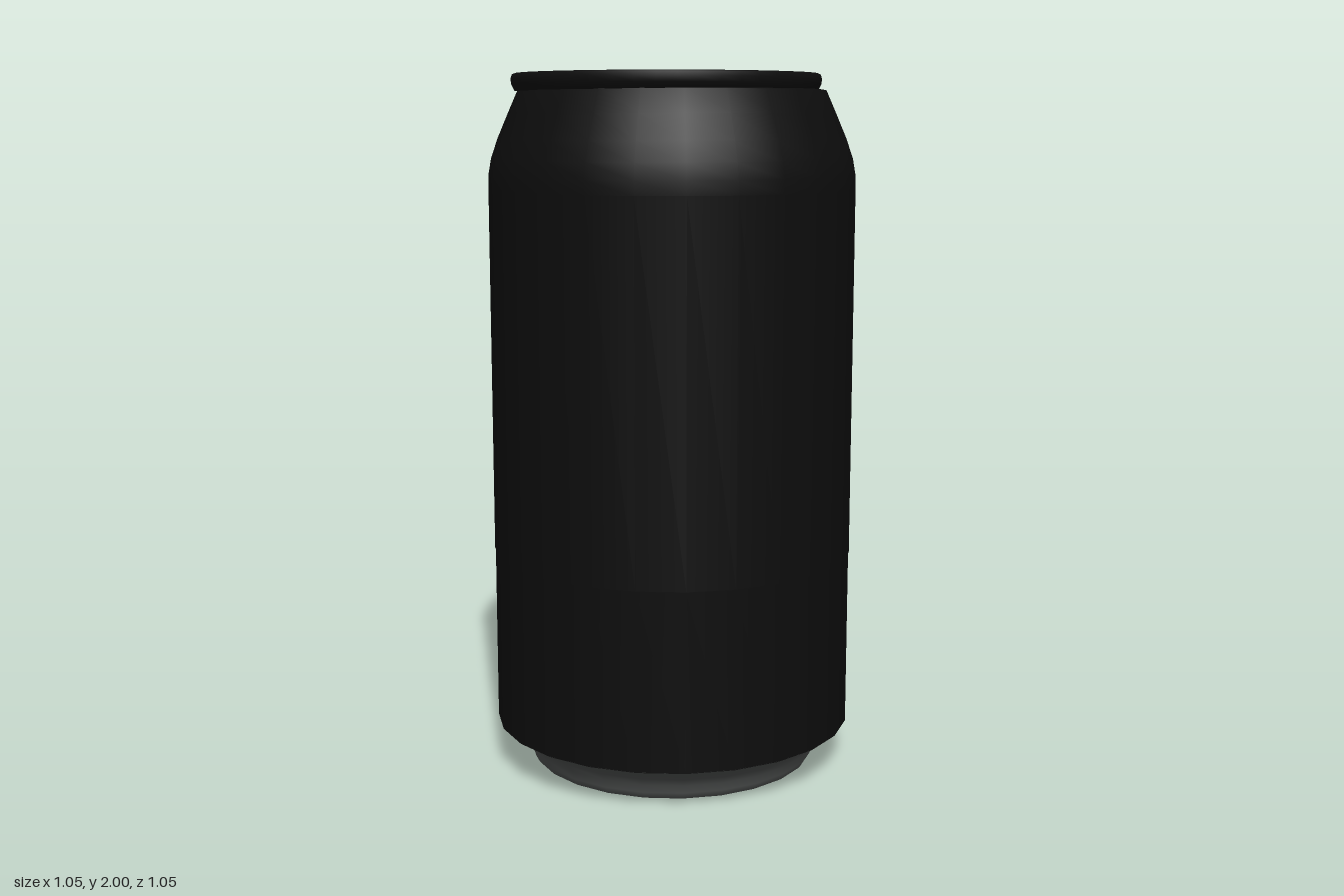
import * as THREE from 'three';

const black = new THREE.MeshStandardMaterial({ color: 0x0d0d0d });
black.name = 'black paint';
const metal = new THREE.MeshStandardMaterial({ color: 0x585b5a });
metal.name = 'bare metal';

const PANEL_Y = 1.955;

function part(name, geometry, material) {
  const mesh = new THREE.Mesh(geometry, material);
  mesh.name = name;
  return mesh;
}

function lathe(profile, segments) {
  return new THREE.LatheGeometry(profile.map(([r, y]) => new THREE.Vector2(r, y)), segments);
}

// Lays a flat shape on the lid, thickened upwards
function plate(shape, depth, bevel) {
  const geometry = new THREE.ExtrudeGeometry(shape, {
    depth, curveSegments: 16, bevelEnabled: bevel > 0,
    bevelSize: bevel, bevelThickness: bevel, bevelOffset: -bevel, bevelSegments: 2,
  });
  return geometry.rotateX(-Math.PI / 2);
}

// Low raised bead following points on the lid
function bead(points, radius) {
  const curve = new THREE.CatmullRomCurve3(points.map(([s, t]) => new THREE.Vector3(s, 0, -t)));
  return new THREE.TubeGeometry(curve, 64, radius, 6);
}

export function createModel() {
  const can = new THREE.Group();
  can.name = 'drinkCan';

  // Painted wall and tapering shoulder
  can.add(part('body', lathe([
    [0.521, 0.12], [0.521, 0.63], [0.523, 0.632], [0.523, 1.68], [0.522, 1.72],
    [0.514, 1.765], [0.495, 1.82], [0.465, 1.89], [0.437, 1.953], [0.42, 1.956],
  ], 24), black));

  // Bare underside: recessed floor, foot ring and flare
  can.add(part('baseFloor', lathe([[0, 0.035], [0.31, 0.035]], 24), metal));
  can.add(part('base', lathe([
    [0.31, 0.035], [0.345, 0.026], [0.375, 0.006], [0.395, 0], [0.413, 0.005],
    [0.424, 0.025], [0.432, 0.05], [0.452, 0.075], [0.485, 0.097], [0.522, 0.122],
  ], 24), metal));

  // Lid sits slightly off the body axis
  const lid = new THREE.Group();
  lid.name = 'lid';
  lid.position.x = -0.017;
  can.add(lid);
  lid.add(part('rim', lathe([
    [0.405, 1.95], [0.428, 1.952], [0.437, 1.97], [0.439, 1.985], [0.435, 1.997],
    [0.428, 2], [0.418, 1.997], [0.411, 1.985], [0.404, 1.95], [0.396, 1.94],
    [0.387, 1.941], [0.379, PANEL_Y - 0.003], [0.37, PANEL_Y],
  ], 48), black));
  lid.add(part('panel', lathe([[0.37, PANEL_Y], [0, PANEL_Y]], 48), black));

  // Opening details share one diagonal axis
  const opener = new THREE.Group();
  opener.name = 'opener';
  opener.position.set(0.017, PANEL_Y, 0);
  opener.rotation.y = Math.PI / 4;
  lid.add(opener);

  opener.add(part('mouthBead', bead([
    [-0.31, 0.03], [-0.3, -0.08], [-0.17, -0.145], [0.07, -0.21], [0.19, -0.225],
    [0.275, -0.15], [0.305, -0.02], [0.255, 0.12], [0.19, 0.165], [0.12, 0.155], [0.08, 0.125],
  ], 0.005), black));

  // Pull tab with finger hole
  const outline = new THREE.Shape();
  outline.absarc(0.025, 0.014, 0.105, -Math.PI / 2, Math.PI / 2, false);
  outline.absarc(-0.17, 0.014, 0.1, Math.PI / 2, Math.PI * 1.5, false);
  const hole = new THREE.Path();
  hole.absellipse(-0.17, 0.022, 0.062, 0.077, 0, Math.PI * 2, true);
  outline.holes.push(hole);
  const tab = part('pullTab', plate(outline, 0.006, 0.005), black);
  tab.position.y = 0.007;
  opener.add(tab);

  // Curved lip around the rivet
  const lip = part('rivetLip', new THREE.TorusGeometry(0.068, 0.005, 6, 24, Math.PI * 1.2), black);
  lip.rotation.set(-Math.PI / 2, 0, -Math.PI * 0.6);
  lip.position.set(0.02, 0.019, -0.014);
  opener.add(lip);

  const rivet = part('rivet', new THREE.CylinderGeometry(0.036, 0.044, 0.024, 24), black);
  rivet.position.set(0.02, 0.012, -0.014);
  opener.add(rivet);

  return can;
}
